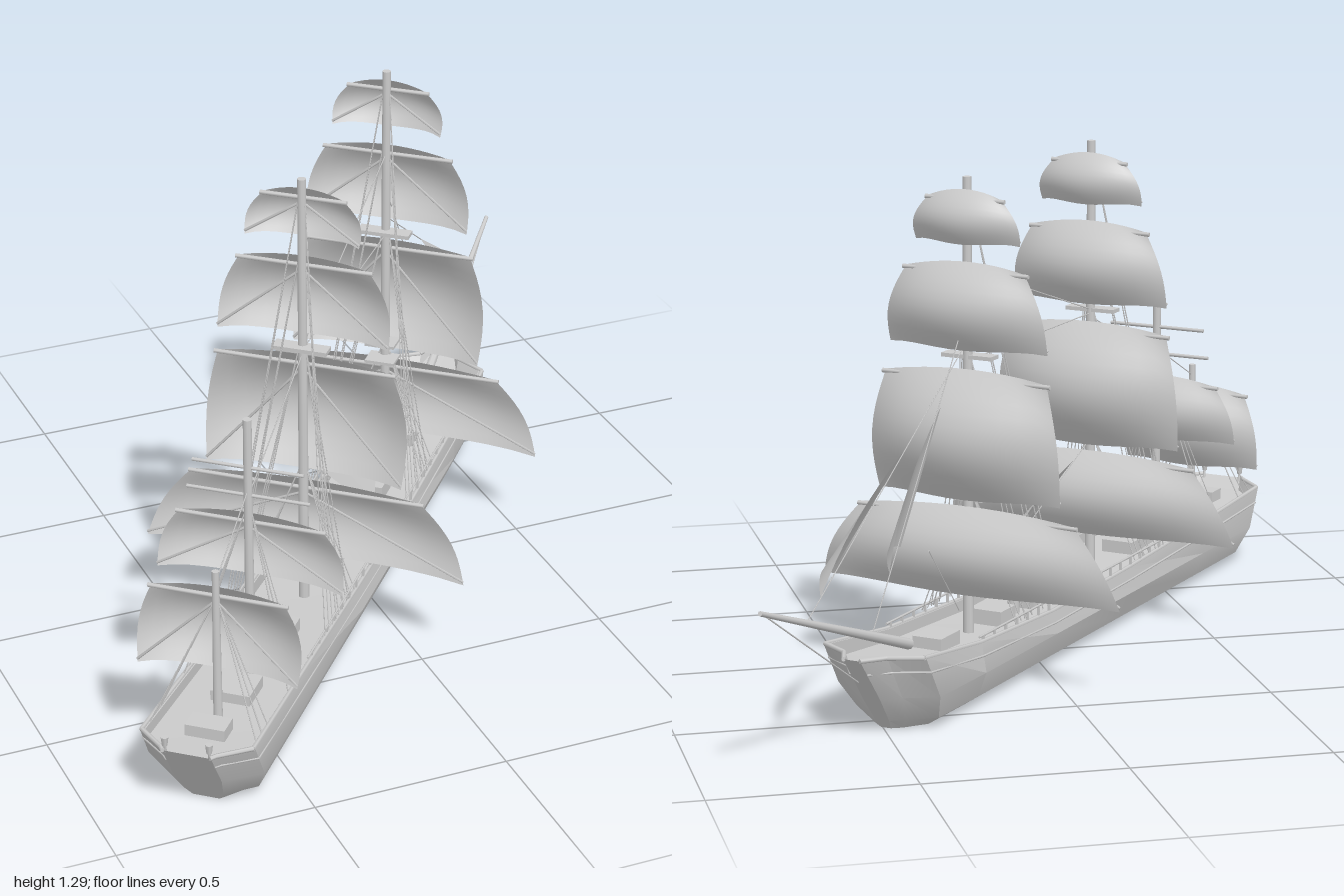
import * as THREE from 'three';
import { toCreasedNormals } from 'three/addons/utils/BufferGeometryUtils.js';

const grey = new THREE.MeshStandardMaterial({ color: 0xcccccc });
const cloth = new THREE.MeshStandardMaterial({ color: 0xcccccc, side: THREE.DoubleSide });
const V = (x, y, z) => new THREE.Vector3(x, y, z);
const lerp = THREE.MathUtils.lerp;

// The ship is built along x (bow at +x, starboard at +z) and turned at the end.
// Hull stations: x at rail, x at keel, width factor, rail height, deck height, rail half width
const stations = [
  [-1.255, -1.127, 0.42, 0.2, 0.2, 0.144],
  [-1.24, -1.12, 0.5, 0.2, 0.17, 0.144],
  [-1.18, -1.07, 1, 0.197, 0.165, 0.144],
  [-0.8, -0.8, 1, 0.175, 0.145, 0.138],
  [-0.35, -0.35, 1, 0.158, 0.125, 0.136],
  [0.1, 0.1, 1, 0.15, 0.12, 0.136],
  [0.5, 0.48, 1, 0.17, 0.14, 0.138],
  [0.79, 0.665, 0.97, 0.207, 0.165, 0.146],
  [0.835, 0.72, 0.45, 0.208, 0.175, 0.135],
  [0.9, 0.738, 0.17, 0.212, 0.212, 0.135],
];

function add(parent, geometry, name, material = grey) {
  const mesh = new THREE.Mesh(geometry, material);
  mesh.name = name;
  parent.add(mesh);
  return mesh;
}

function rod(parent, name, a, b, r1, r2 = r1, sides = 6) {
  const d = b.clone().sub(a);
  const mesh = add(parent, new THREE.CylinderGeometry(r2, r1, d.length(), sides), name);
  mesh.position.copy(a).addScaledVector(d, 0.5);
  mesh.quaternion.setFromUnitVectors(V(0, 1, 0), d.normalize());
}

function box(parent, name, x, y, z, w, h, d) {
  add(parent, new THREE.BoxGeometry(w, h, d), name).position.set(x, y, z);
}

function surface(positions, index) {
  const g = new THREE.BufferGeometry();
  g.setAttribute('position', new THREE.Float32BufferAttribute(positions, 3));
  g.setIndex(index);
  g.computeVertexNormals();
  return g;
}

// Closed hull lofted through the stations, with bulwarks and a sunken deck
function hullGeometry() {
  const pos = [], index = [];
  let n = 0;
  for (const [xTop, xKeel, w, rail, deck, wide] of stations) {
    const half = [[0.08, 0], [0.118, 0.025], [0.146, 0.092], [wide, rail], [wide - 0.014, rail], [wide - 0.014, deck]];
    const ring = [[0, 0], ...half, [0, deck], ...half.slice().reverse().map(([z, y]) => [-z, y])];
    n = ring.length;
    for (const [z, y] of ring) pos.push(lerp(xKeel, xTop, y / rail), y, z * w);
  }
  for (let i = 0; i < stations.length - 1; i++) {
    for (let j = 0; j < n; j++) {
      const a = i * n + j, c = i * n + (j + 1) % n;
      index.push(a, a + n, c, c, a + n, c + n);
    }
  }
  const end = (stations.length - 1) * n;
  for (let j = 1; j < n - 1; j++) {
    index.push(0, j, j + 1, end, end + j + 1, end + j);
  }
  return toCreasedNormals(surface(pos, index), 0.5);
}

// Billowing square sail hung from a yard, with clew lines behind it
function squareSail(parent, x, yTop, yFoot, wTop, wFoot) {
  const g = new THREE.Group();
  g.name = 'squareSail';
  parent.add(g);
  const N = 12, M = 10, pos = [], index = [];
  const belly = 0.24 * (yTop - yFoot);
  for (let i = 0; i <= M; i++) {
    for (let j = 0; j <= N; j++) {
      const v = i / M, u = (j / N) * 2 - 1;
      const width = lerp(wTop, wFoot, v) + 0.02 * Math.sin(Math.PI * v);
      pos.push(
        x + 0.012 - 0.015 * v * u * u + 0.02 * v * (1 - u * u) + belly * Math.sin(Math.PI * v) * (1 - 0.75 * u * u),
        lerp(yTop - 0.02 * u * u, yFoot + 0.02 * u * u * (1 - u * u), v),
        u * width);
      if (i < M && j < N) {
        const a = i * (N + 1) + j, b = a + N + 1;
        index.push(a, b, a + 1, a + 1, b, b + 1);
      }
    }
  }
  add(g, surface(pos, index), 'sailCloth', cloth);
  rod(g, 'yard', V(x + 0.012, yTop - 0.025, -wTop - 0.01), V(x + 0.012, yTop - 0.025, wTop + 0.01), 0.006);
  for (const s of [-1, 1]) {
    rod(g, 'clewLine', V(x, yTop - 0.03, 0), V(x - 0.005, yFoot + 0.01, s * wFoot), 0.0035, 0.0035, 4);
  }
}

// Three-cornered sail whose free corner swings out to starboard
function staysail(parent, head, tack, clew) {
  const N = 8, pos = [], index = [], row = i => (i * (i + 1)) / 2;
  for (let i = 0; i <= N; i++) {
    for (let j = 0; j <= i; j++) {
      const a = 1 - i / N, b = (i - j) / N, c = j / N;
      const p = V(0, 0, 0).addScaledVector(head, a).addScaledVector(tack, b).addScaledVector(clew, c);
      pos.push(p.x, p.y + 0.08 * b * c, p.z + 0.08 * (a * b + b * c));
      if (i < N) index.push(row(i) + j, row(i + 1) + j, row(i + 1) + j + 1);
      if (j < i && i < N) index.push(row(i) + j, row(i + 1) + j + 1, row(i) + j + 1);
    }
  }
  add(parent, surface(pos, index), 'staysail', cloth);
}

function shrouds(parent, x, yHead, feet, yFoot) {
  for (const s of [-1, 1]) {
    for (const f of feet) {
      rod(parent, 'shroud', V(x, yHead, s * 0.008), V(x - f, yFoot, s * 0.134), 0.0016, 0.0016, 4);
    }
  }
}

export function createModel() {
  const model = new THREE.Group();
  model.name = 'sailingShip';
  const ship = new THREE.Group();
  ship.name = 'ship';
  model.add(ship);
  ship.rotation.y = 0.862;
  ship.position.x = 0.013;

  // Hull with rail cap, side moulding and stanchions
  add(ship, hullGeometry(), 'hull');
  for (const s of [-1, 1]) {
    for (let i = 0; i < stations.length - 1; i++) {
      const [a, b] = [stations[i], stations[i + 1]];
      const cap = q => V(q[0], q[3], s * q[2] * (q[5] - 0.005));
      const side = q => V(lerp(q[1], q[0], 0.8), q[3] * 0.8, s * q[2] * lerp(0.146, q[5], 0.6));
      rod(ship, 'railCap', cap(a), cap(b), 0.006);
      rod(ship, 'moulding', side(a), side(b), 0.003);
    }
    for (let x = -0.72; x < 0.5; x += 0.06) {
      box(ship, 'railPost', x, 0.167, s * 0.131, 0.006, 0.036, 0.006);
    }
    rod(ship, 'upperRail', V(-0.75, 0.186, s * 0.131), V(0.5, 0.183, s * 0.131), 0.003);
    // Stern lanterns
    rod(ship, 'lanternPost', V(-1.245, 0.19, s * 0.055), V(-1.25, 0.215, s * 0.055), 0.004);
    rod(ship, 'lantern', V(-1.25, 0.212, s * 0.055), V(-1.25, 0.235, s * 0.055), 0.007, 0.01);
  }

  // Deck fittings: x, y, length, height, width
  for (const [x, y, l, h, w] of [
    [-1.1, 0.18, 0.06, 0.03, 0.1], [-0.9, 0.165, 0.1, 0.03, 0.1], [-0.62, 0.15, 0.14, 0.035, 0.09],
    [-0.22, 0.14, 0.1, 0.04, 0.08], [-0.02, 0.14, 0.08, 0.05, 0.07], [0.18, 0.145, 0.08, 0.04, 0.09],
    [0.48, 0.155, 0.1, 0.035, 0.08],
  ]) box(ship, 'deckHouse', x, y, 0, l, h, w);
  for (const x of [-0.095, 0.064]) rod(ship, 'funnel', V(x, 0.12, 0), V(x, 0.18, 0), 0.015, 0.015, 12);

  // Bowsprit and its stay
  rod(ship, 'bowsprit', V(0.62, 0.18, 0), V(1.31, 0.43, 0), 0.014, 0.006, 8);
  rod(ship, 'bobstay', V(1.29, 0.42, 0), V(0.87, 0.15, 0), 0.002, 0.002, 4);

  // Two tall masts with four square sails each
  for (const x of [0.31, -0.382]) {
    rod(ship, 'mast', V(x, 0.1, 0), V(x, 1.29, 0), 0.014, 0.011, 10);
    squareSail(ship, x, 0.46, 0.235, 0.3, 0.42);
    squareSail(ship, x, 0.81, 0.48, 0.225, 0.255);
    squareSail(ship, x, 1.08, 0.86, 0.165, 0.22);
    squareSail(ship, x, 1.26, 1.125, 0.1, 0.145);
    box(ship, 'crosstree', x - 0.01, 0.84, 0, 0.04, 0.01, 0.14);
    shrouds(ship, x, 0.5, [0.0, 0.03, 0.06, 0.09], 0.17);
    shrouds(ship, x, 0.84, [0.05, 0.09, 0.13], 0.17);
    shrouds(ship, x, 1.08, [0.15, 0.18], 0.17);
    shrouds(ship, x, 1.24, [0.21, 0.24], 0.17);
  }
  // Fighting top on the fore mast
  for (const y of [0.475, 0.525]) box(ship, 'mastTop', 0.285, y, 0, 0.06, 0.008, 0.08);

  // Two short after masts with one square sail each
  rod(ship, 'mast', V(-0.797, 0.12, 0), V(-0.797, 0.85, 0), 0.012, 0.011, 10);
  squareSail(ship, -0.797, 0.59, 0.41, 0.18, 0.235);
  rod(ship, 'yard', V(-0.797, 0.72, -0.14), V(-0.797, 0.72, 0.14), 0.005);
  rod(ship, 'yard', V(-0.797, 0.645, -0.155), V(-0.797, 0.645, 0.155), 0.005);
  shrouds(ship, -0.797, 0.6, [0.03, 0.07, 0.11], 0.18);
  rod(ship, 'mast', V(-1.034, 0.14, 0), V(-1.034, 0.57, 0), 0.012, 0.009, 10);
  squareSail(ship, -1.034, 0.52, 0.285, 0.165, 0.2);
  shrouds(ship, -1.034, 0.48, [0.03, 0.07, 0.11], 0.19);

  // Triangular sails
  staysail(ship, V(0.63, 0.67, 0), V(1.04, 0.4, 0), V(0.757, 0.4, 0.12));
  staysail(ship, V(0.45, 0.74, 0), V(0.714, 0.38, 0), V(0.515, 0.39, 0.08));
  staysail(ship, V(-0.28, 0.45, 0), V(0.12, 0.28, 0), V(-0.13, 0.26, 0.1));

  // Stays between masts and bowsprit: x, y to x, y
  for (const [x1, y1, x2, y2] of [
    [0.31, 1.06, -0.382, 0.84], [0.31, 0.83, -0.382, 0.83], [-0.382, 0.82, -0.797, 0.64],
    [-0.797, 0.66, -1.034, 0.54], [0.31, 0.88, 1.1, 0.36], [0.31, 0.96, 0.8, 0.25],
    [-0.382, 0.49, 0.2, 0.24], [0.515, 0.39, 0.36, 0.2],
  ]) rod(ship, 'stay', V(x1, y1, 0), V(x2, y2, 0), 0.0016, 0.0016, 4);

  return model;
}
